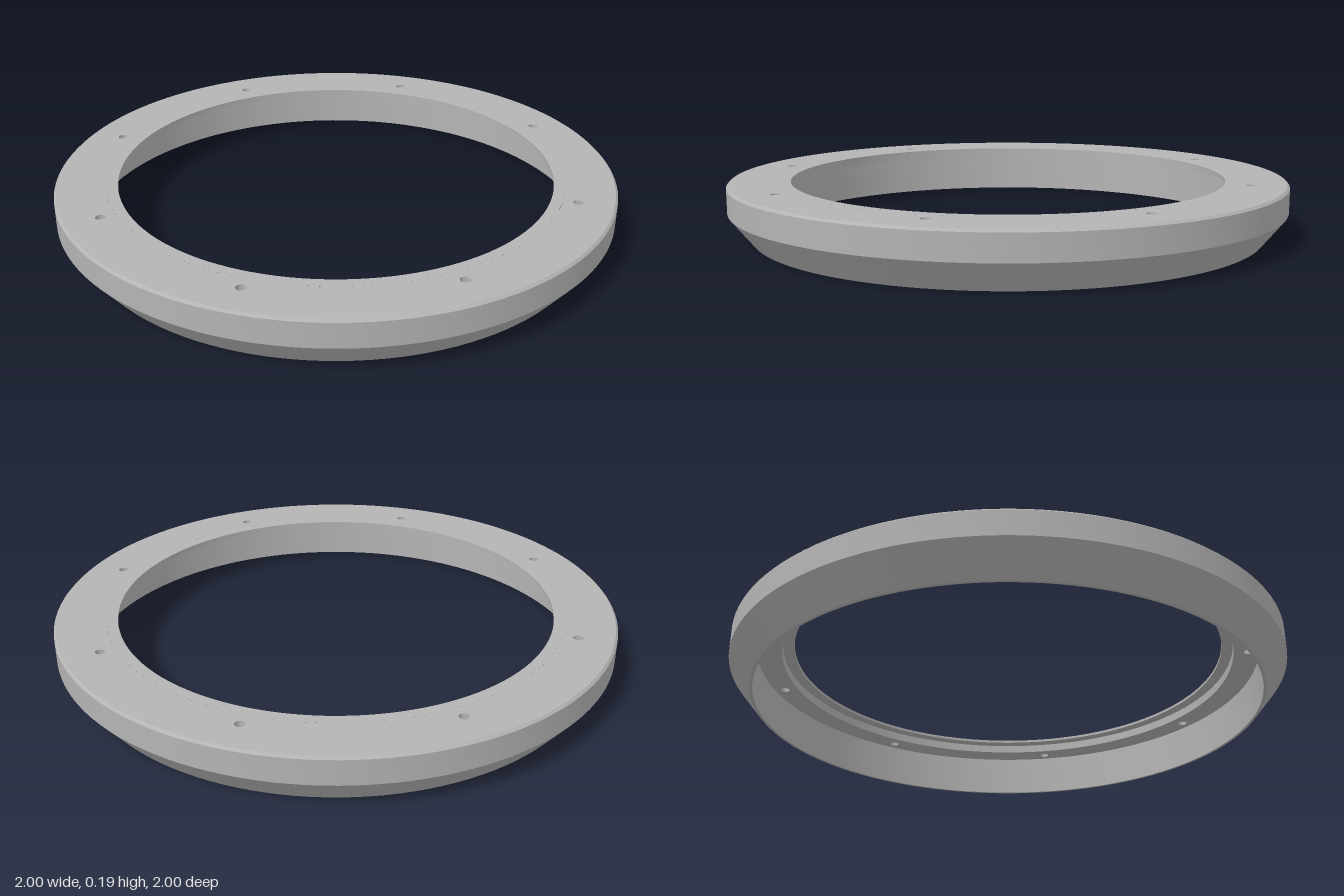
import * as THREE from 'three';
import { toCreasedNormals } from 'three/addons/utils/BufferGeometryUtils.js';

const SEGMENTS = 128;
const TOP = 0.195;

export function createModel() {
  const group = new THREE.Group();
  const grey = new THREE.MeshStandardMaterial({ color: 0xb4b4b4 });
  grey.name = 'plain grey';

  function add(name, geometry) {
    const mesh = new THREE.Mesh(toCreasedNormals(geometry, 0.4), grey);
    mesh.name = name;
    group.add(mesh);
  }
  const lathe = (profile) =>
    new THREE.LatheGeometry(profile.map(([r, y]) => new THREE.Vector2(r, y)), SEGMENTS);

  // Outer skirt: straight inner wall, sloped lower side, chamfered top edge
  add('outerRim', lathe([
    [0.91, 0.155], [0.91, 0], [0.92, 0], [1, 0.1],
    [1, TOP - 0.008], [0.992, TOP], [0.91, TOP],
  ]));

  // Thin lip overhanging the recess around the opening
  add('innerLip', lathe([
    [0.82, TOP], [0.78, TOP], [0.78, TOP - 0.01], [0.82, TOP - 0.01],
  ]));

  // Flange with eight screw holes
  const flange = new THREE.Shape().absarc(0, 0, 0.91, 0, Math.PI * 2);
  flange.holes.push(new THREE.Path().absarc(0, 0, 0.82, 0, Math.PI * 2, true));
  for (let i = 0; i < 8; i++) {
    const a = (i + 0.5) * Math.PI / 4;
    flange.holes.push(new THREE.Path().absarc(
      0.871 * Math.cos(a), 0.871 * Math.sin(a), 0.017, 0, Math.PI * 2, true));
  }
  const plate = new THREE.ExtrudeGeometry(flange, {
    depth: 0.04, bevelEnabled: false, curveSegments: SEGMENTS,
  });
  plate.rotateX(-Math.PI / 2).translate(0, TOP - 0.04, 0);
  add('screwFlange', plate);

  return group;
}
